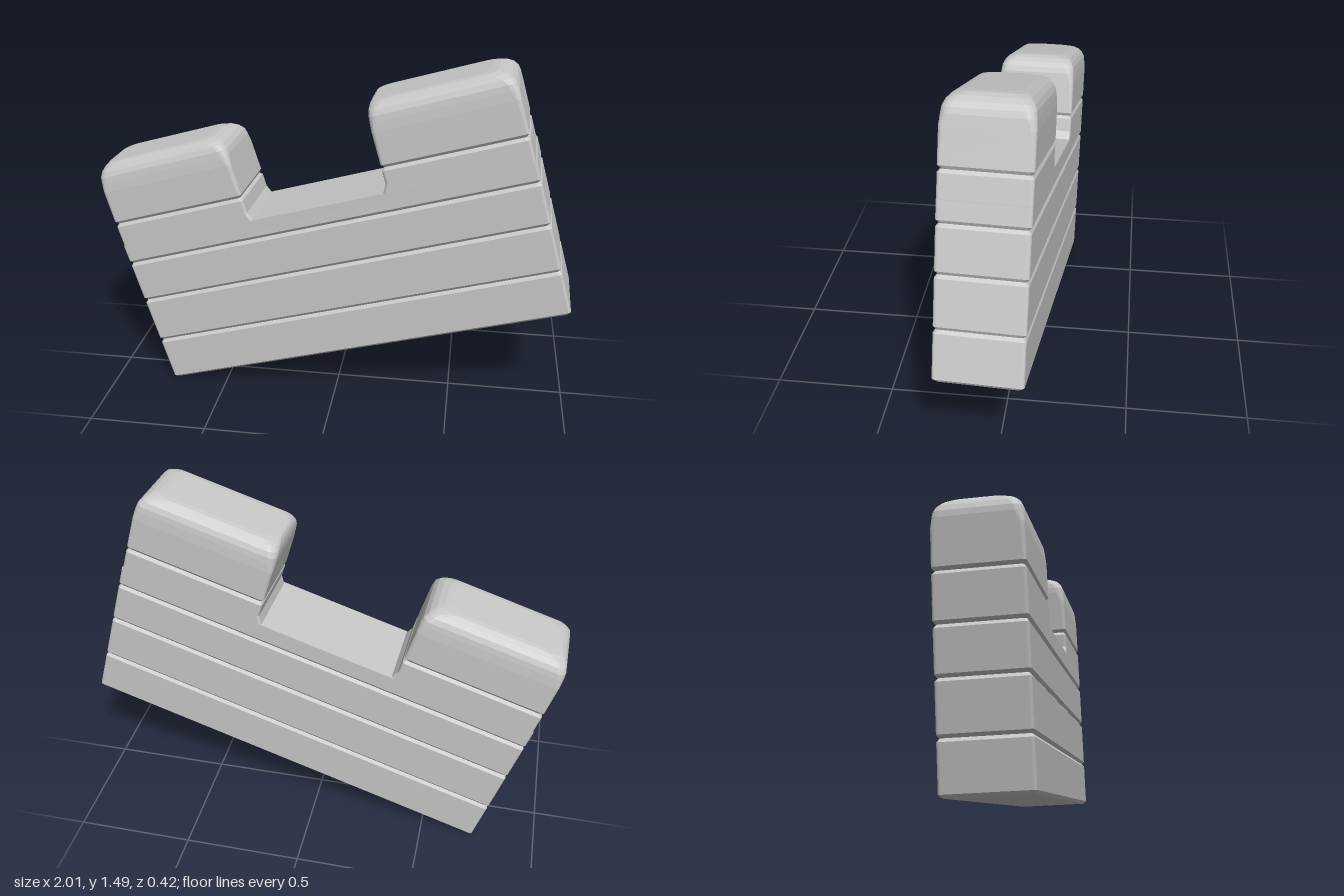
import * as THREE from 'three';

const HALF = 0.168; // half thickness of the wall
const GROOVE = 0.01; // depth of the joints between courses

// Outline of a rounded rectangle, counter-clockwise seen from above
function ring(v, u0, u1, w, r) {
  const pts = [];
  const corners = [[u1 - r, -w + r], [u0 + r, -w + r], [u0 + r, w - r], [u1 - r, w - r]];
  corners.forEach(([cx, cz], c) => {
    for (let k = 0; k <= 4; k++) {
      const a = (c + k / 4) * Math.PI / 2;
      pts.push([cx + r * Math.cos(a), v, cz - r * Math.sin(a)]);
    }
  });
  return pts;
}

// Joins stacked rings into a closed, flat-shaded solid
function loft(rings) {
  const pos = [];
  const tri = (a, b, c) => pos.push(...a, ...b, ...c);
  const n = rings[0].length;
  const centre = (r) => [0, 1, 2].map((k) => r.reduce((s, p) => s + p[k], 0) / n);
  const first = rings[0], last = rings[rings.length - 1];
  const c0 = centre(first), c1 = centre(last);
  for (let i = 0; i < n; i++) {
    const j = (i + 1) % n;
    for (let k = 0; k + 1 < rings.length; k++) {
      const a = rings[k], b = rings[k + 1];
      tri(a[i], a[j], b[j]);
      tri(a[i], b[j], b[i]);
    }
    tri(c0, first[j], first[i]);
    tri(c1, last[i], last[j]);
  }
  const g = new THREE.BufferGeometry();
  g.setAttribute('position', new THREE.Float32BufferAttribute(pos, 3));
  g.computeVertexNormals();
  return g;
}

// Three rings that cut a shallow joint around a block
function joint(v, u0, u1) {
  return [[-0.013, 0], [0, GROOVE], [0.013, 0]].map(([dv, d]) =>
    ring(v + dv, u0 + d, u1 - d, HALF - d, 0.012));
}

// Upright block with a joint and a softly domed top; e0, e1 = end rounding
function merlon(u0, u1, e0, e1, foot0, foot1) {
  const rings = [
    ring(0.674, u0 - foot0, u1 + foot1, HALF, 0.012),
    ring(0.71, u0, u1, HALF, 0.012),
    ...joint(0.78, u0, u1),
    ring(0.93, u0, u1, HALF, 0.018),
  ];
  for (let k = 0; k <= 5; k++) {
    const a = k / 5 * Math.PI / 2;
    const s = 1 - Math.cos(a);
    rings.push(ring(0.97 + 0.075 * Math.sin(a), u0 + e0 * s, u1 - e1 * s,
      HALF - 0.003 - 0.065 * s, 0.03 + 0.035 * s));
  }
  return loft(rings);
}

export function createModel() {
  const stone = new THREE.MeshStandardMaterial({ color: 0xc8c8c8 });
  stone.name = 'grey stone';
  const length = 1.803;

  // Wall body with three joints
  const body = loft([
    ring(0, 0.012, length - 0.012, HALF - 0.012, 0.012),
    ring(0.012, 0, length, HALF, 0.012),
    ...[0.2, 0.405, 0.59].flatMap((v) => joint(v, 0, length)),
    ring(0.675, 0, length, HALF, 0.012),
  ]);

  const wall = new THREE.Group();
  wall.name = 'battlement';
  const parts = {
    wallBody: body,
    rightMerlon: merlon(0.004, 0.6, 0.06, 0.09, 0, 0.015),
    leftMerlon: merlon(1.205, 1.798, 0.03, 0.09, 0.02, 0),
  };
  for (const [name, geometry] of Object.entries(parts)) {
    const mesh = new THREE.Mesh(geometry, stone);
    mesh.name = name;
    wall.add(mesh);
  }

  // The piece rests on one lower edge, tilted and turned slightly
  wall.rotation.z = 0.287;
  wall.position.set(-0.735, 0, 0);
  const turned = new THREE.Group();
  turned.name = 'tiltedWall';
  turned.rotation.y = -0.0425;
  turned.add(wall);

  const model = new THREE.Group();
  model.name = 'battlementPiece';
  model.add(turned);
  return model;
}
